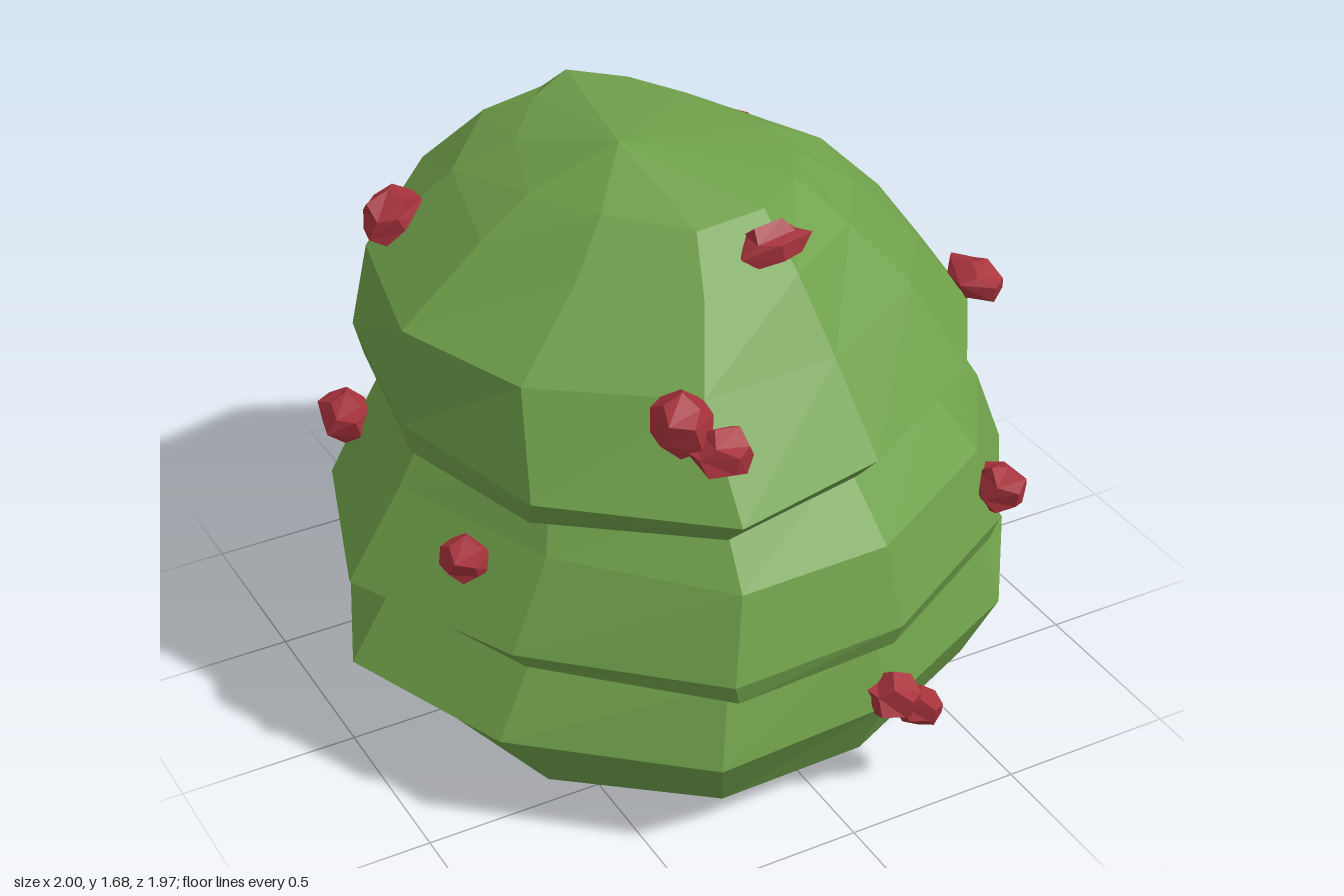
import * as THREE from 'three';

// Irregular plan outline shared by every tier, as [x, z]
const OUTLINE = [
  [0.99, -0.06], [0.89, 0.33], [0.65, 0.68], [0.15, 0.96], [-0.35, 0.97], [-0.77, 0.56],
  [-1, 0.05], [-0.83, -0.47], [-0.44, -0.85], [-0.06, -0.98], [0.41, -0.92], [0.78, -0.6],
];

// Small repeatable wobble in -1..1
const wobble = (a, b) => {
  const s = Math.sin(a * 12.99 + b * 78.23) * 43758.55;
  return (s - Math.floor(s)) * 2 - 1;
};

// One ring: y, extents on -x, +x, -z, +z, swell of the corners [+x+z, -x+z, -x-z, +x-z],
// then the tilt of y along x and z, and the jitter of y
function ring([y, xMin, xMax, zMin, zMax, corners, tiltX = 0, tiltZ = 0, rough = 0]) {
  return OUTLINE.map(([ox, oz], i) => {
    const corner = oz > 0 ? corners[ox > 0 ? 0 : 1] : corners[ox > 0 ? 3 : 2];
    const swell = 1 + corner * Math.abs(2 * ox * oz) / (ox * ox + oz * oz);
    const x = swell * ox * (ox > 0 ? xMax / 0.99 : xMin);
    const z = swell * oz * (oz > 0 ? zMax / 0.97 : zMin / 0.98);
    return [x, y + tiltX * x + tiltZ * z + rough * wobble(i, y), z];
  });
}

// Faceted solid lofted through rings and closed by a point at each end
function tier(name, rows, bottom, top, material) {
  const rings = rows.map(ring);
  const n = OUTLINE.length;
  const pos = [];
  const tri = (a, b, c) => pos.push(...a, ...b, ...c);
  for (let i = 0; i < n; i++) {
    const j = (i + 1) % n;
    tri(bottom, rings[0][i], rings[0][j]);
    for (let r = 0; r < rings.length - 1; r++) {
      const lo = rings[r], hi = rings[r + 1];
      tri(lo[i], hi[i], lo[j]);
      tri(lo[j], hi[i], hi[j]);
    }
    const last = rings[rings.length - 1];
    tri(top, last[j], last[i]);
  }
  const geometry = new THREE.BufferGeometry();
  geometry.setAttribute('position', new THREE.Float32BufferAttribute(pos, 3));
  geometry.computeVertexNormals();
  const mesh = new THREE.Mesh(geometry, material);
  mesh.name = name;
  return mesh;
}

// Chunky irregular berry: a dodecahedron with its corners pushed in and out
function berryGeometry(seed) {
  const g = new THREE.DodecahedronGeometry(1, 0);
  const p = g.attributes.position;
  const v = new THREE.Vector3();
  for (let i = 0; i < p.count; i++) {
    v.fromBufferAttribute(p, i);
    const key = Math.round(v.x * 50) + Math.round(v.y * 50) * 3 + Math.round(v.z * 50) * 7;
    v.multiplyScalar(1.03 + 0.14 * wobble(key, seed));
    p.setXYZ(i, v.x, v.y, v.z);
  }
  g.computeVertexNormals();
  return g;
}

export function createModel() {
  const group = new THREE.Group();
  group.name = 'berryBush';
  const leaf = new THREE.MeshStandardMaterial({ color: 0x6fa04a });
  leaf.name = 'leafGreen';
  const red = new THREE.MeshStandardMaterial({ color: 0xa6323b });
  red.name = 'berryRed';

  // Three stacked tiers of foliage, each overhanging the one below
  group.add(tier('bottomTier', [
    [0.085, 0.82, 0.9, 0.8, 0.8, [0.03, 0, -0.05, -0.06], 0, -0.03, 0.035],
    [0.295, 1, 1, 0.92, 0.9, [0.03, 0.05, -0.03, -0.03]],
    [0.51, 0.87, 0.88, 0.9, 0.85, [0.04, 0.02, -0.04, -0.07]],
  ], [0.05, 0, 0], [0, 0.51, 0], leaf));
  group.add(tier('middleTier', [
    [0.495, 0.89, 0.9, 0.9, 0.9, [0, 0.02, 0, 0], 0.01],
    [0.525, 0.93, 0.95, 0.94, 0.94, [0, 0.02, 0, 0], 0.01],
    [0.58, 1, 0.97, 0.98, 0.97, [0, 0, 0, 0], 0.02, 0.015],
    [0.81, 0.84, 0.89, 0.94, 0.9, [0, 0, 0, -0.05]],
    [0.98, 0.74, 0.75, 0.86, 0.72, [0, 0.04, 0, -0.06]],
  ], [0, 0.49, 0], [0, 0.99, 0], leaf));
  group.add(tier('topTier', [
    [0.935, 0.79, 0.8, 0.93, 0.77, [0, 0.13, 0.09, -0.1], 0.04, 0.02],
    [1.025, 0.81, 0.85, 0.98, 0.85, [0, 0.13, 0.09, -0.1], 0.04, 0.015],
    [1.27, 0.8, 0.69, 0.87, 0.67, [0, 0.06, 0.06, -0.11], 0, 0, 0.015],
    [1.46, 0.57, 0.49, 0.7, 0.53, [0, 0, 0.02, -0.15], 0, -0.02, 0.015],
    [1.565, 0.43, 0.31, 0.57, 0.4, [0, 0, -0.08, -0.2], 0, 0, 0.01],
  ], [0, 0.94, 0], [-0.2, 1.68, 0.08], leaf));

  // Berries: position, half sizes along x, y, z, and roll about z
  const berries = [
    [0.03, 1.51, 0.46, 0.1, 0.055, 0.06, 0.15],
    [-0.37, 1.24, 0.72, 0.08, 0.09, 0.09, 0.3],
    [-0.3, 1.18, 0.8, 0.09, 0.065, 0.08, -0.2],
    [0.79, 1.1, 0.27, 0.07, 0.06, 0.11, -0.3],
    [-0.79, 0.74, 0.33, 0.065, 0.06, 0.08, 0.3],
    [0.63, 0.71, 0.68, 0.075, 0.065, 0.085, 0],
    [0.17, 0.33, 0.9, 0.08, 0.065, 0.08, -0.4],
    [0.25, 0.27, 0.91, 0.075, 0.055, 0.06, -0.5],
    [-0.64, 1.36, -0.39, 0.09, 0.07, 0.08, 0.5],
    [0.42, 1.34, -0.42, 0.08, 0.07, 0.11, -0.5],
    [-0.78, 0.73, -0.46, 0.07, 0.07, 0.09, 0.3],
    [0.65, 0.79, -0.58, 0.06, 0.065, 0.07, 0.2],
    [0.18, 0.84, -0.88, 0.055, 0.06, 0.06, 0],
  ];
  berries.forEach(([x, y, z, sx, sy, sz, roll], i) => {
    const berry = new THREE.Mesh(berryGeometry(i + 1), red);
    berry.name = `berry${i + 1}`;
    berry.position.set(x, y, z);
    berry.scale.set(sx, sy, sz);
    berry.rotation.z = roll;
    group.add(berry);
  });

  // Settle the lowest point on the ground
  group.position.y = -new THREE.Box3().setFromObject(group, true).min.y;
  return group;
}
